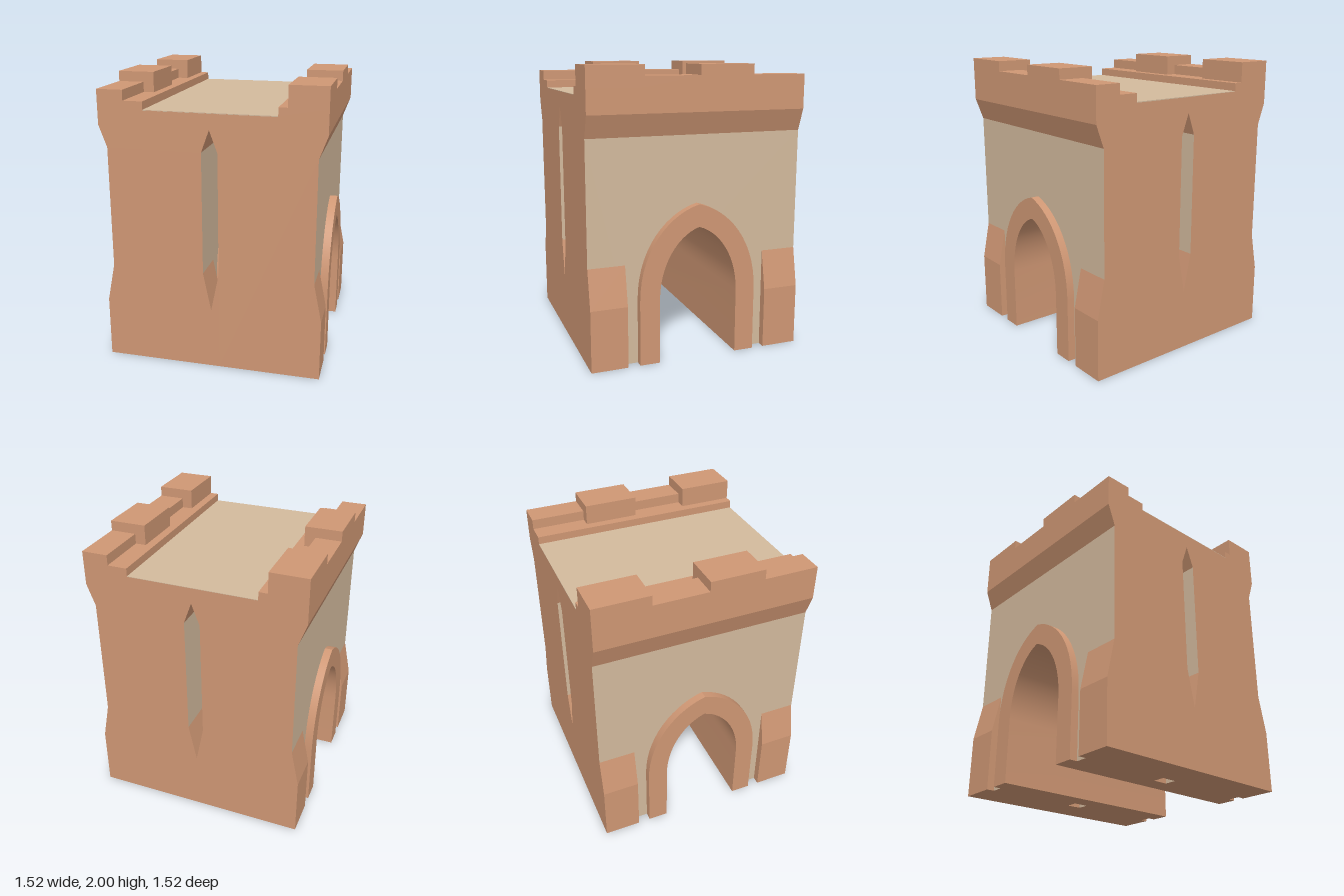
import * as THREE from 'three';
import { toCreasedNormals } from 'three/addons/utils/BufferGeometryUtils.js';

const HALF = 0.76, WALL = 0.705, SLOT = 0.055, EAVE = 1.545;

export function createModel() {
  const group = new THREE.Group();
  const brick = new THREE.MeshStandardMaterial({ color: 0xcf9774 });
  brick.name = 'brick';
  const plaster = new THREE.MeshStandardMaterial({ color: 0xd3ba9d, side: THREE.DoubleSide });
  plaster.name = 'plaster';

  const add = (name, geometry, material) => {
    const mesh = new THREE.Mesh(geometry, material);
    mesh.name = name;
    group.add(mesh);
    return mesh;
  };
  const shapeOf = pts => new THREE.Shape(pts.map(p => new THREE.Vector2(p[0], p[1])));
  // x-y outline extruded from z0 to z1
  const prism = (pts, z0, z1) =>
    new THREE.ExtrudeGeometry(shapeOf(pts), { depth: z1 - z0, bevelEnabled: false }).translate(0, 0, z0);
  const box = (x0, x1, y0, y1, z0, z1) =>
    new THREE.BoxGeometry(x1 - x0, y1 - y0, z1 - z0).translate((x0 + x1) / 2, (y0 + y1) / 2, (z0 + z1) / 2);

  // Pointed arch line from left foot over the apex to right foot
  const archLine = (w, apex, shoulder, cx, cy) => {
    const v = (x, y) => new THREE.Vector2(x, y);
    const half = new THREE.CubicBezierCurve(v(w, 0.45), v(w, shoulder), v(cx, cy), v(0, apex))
      .getPoints(14).map(p => [p.x, p.y]);
    const right = [[w, 0], ...half];
    const left = right.slice(0, -1).map(([x, y]) => [-x, y]);
    return [...left, ...right.reverse()];
  };
  const outer = archLine(0.42, 1.085, 0.8, 0.22, 1.03);
  const inner = archLine(0.28, 0.93, 0.7, 0.15, 0.885);

  // Vaulted passage running from side to side
  const vault = prism([...outer, ...inner.slice().reverse()], -HALF, HALF).rotateY(Math.PI / 2);
  add('archVault', toCreasedNormals(vault, 0.4), brick);

  // Plaster walls on the sides and inside the slot, cut around the arch
  const wallOutline = [[-HALF, 0], ...outer, [HALF, 0], [HALF, EAVE], [-HALF, EAVE]];
  for (const x of [-WALL, -SLOT, SLOT, WALL]) {
    const wall = new THREE.ShapeGeometry(shapeOf(wallOutline)).rotateY(x > 0 ? Math.PI / 2 : -Math.PI / 2);
    add(Math.abs(x) > 0.1 ? 'sideWall' : 'slotWall', wall.translate(x, 0, 0), plaster);
  }

  for (const s of [-1, 1]) {
    const z0 = s > 0 ? 0.505 : -HALF, z1 = s > 0 ? HALF : -0.505;
    // End faces either side of the arrow slot
    for (const m of [-1, 1]) {
      const panel = new THREE.PlaneGeometry(WALL - SLOT, EAVE);
      if (s < 0) panel.rotateY(Math.PI);
      add('endWall', panel.translate(m * (WALL + SLOT) / 2, EAVE / 2, s * HALF), brick);
      // Sloped corner buttresses
      add('buttress', prism([[m * WALL, 0], [m * HALF, 0], [m * HALF, 0.43], [m * WALL, 0.7]], z0, z1), brick);
    }
    // V-shaped sill below the slot
    add('slotSill', prism([[-SLOT, 0], [SLOT, 0], [SLOT, 0.7], [0, 0.43], [-SLOT, 0.7]], z0, z1), brick);

    // Underside between arch and end wall, open at the slot and side grooves
    for (const m of [-1, 1]) {
      const foot = new THREE.PlaneGeometry(WALL - SLOT, 0.34).rotateX(Math.PI / 2);
      add('footing', foot.translate(m * (WALL + SLOT) / 2, 0, s * 0.59), brick);
    }
  }

  // Corbelled top with the slot peak cut into its underside
  const half = [[SLOT, EAVE], [WALL, EAVE], [HALF, 1.695], [HALF, 1.86], [0.445, 1.86], [0.445, 1.803]];
  const mirrored = half.map(([x, y]) => [-x, y]).reverse();
  add('corbelTop', prism([[0, 1.695], ...half, ...mirrored], -HALF, HALF), brick);
  add('roofDeck', box(-0.445, 0.445, 1.8, 1.806, -HALF, HALF), plaster);

  // Alternating high and low battlements
  for (let i = 0; i < 4; i++) {
    const z = -HALF + i * 0.38;
    for (const m of [-1, 1]) {
      const high = (i % 2 === 0) === (m < 0);
      const inside = high ? 0.505 : 0.58, top = high ? 2 : 1.93;
      const [x0, x1] = m > 0 ? [inside, HALF] : [-HALF, -inside];
      add(high ? 'merlon' : 'crenel', box(x0, x1, 1.86, top, z, z + 0.38), brick);
    }
  }
  return group;
}
